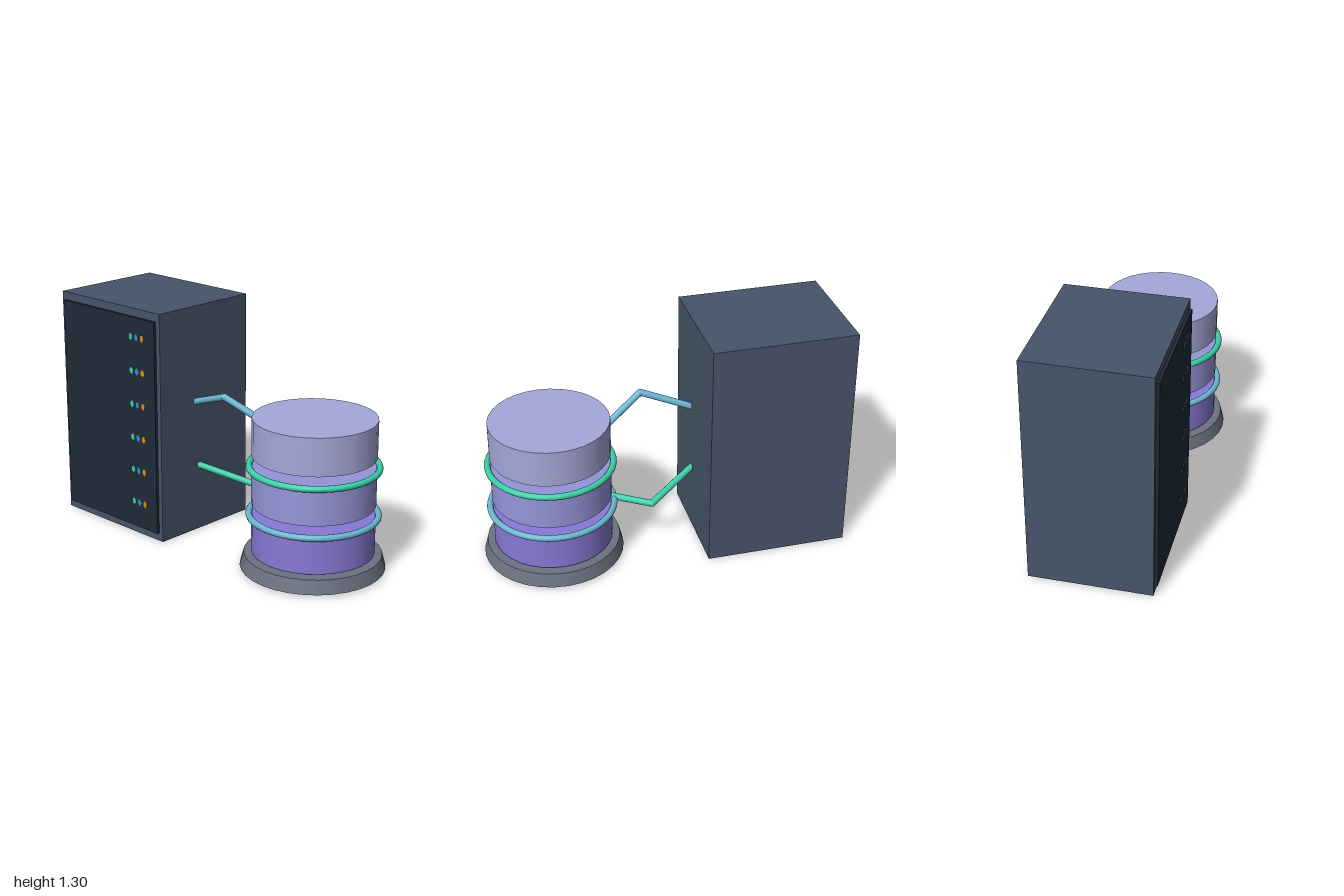
import * as THREE from 'three';

const mat = (name, color) => {
  const m = new THREE.MeshStandardMaterial({ color });
  m.name = name;
  return m;
};

export function createModel() {
  const steel = mat('slate steel', 0x475569);
  const dark = mat('dark panel', 0x1f2b38);
  const green = mat('sea green', 0x3bcfa8);
  const blue = mat('pale blue', 0x6ab7d2);
  const ledBlue = mat('light blue indicator', 0x3490c8);
  const orange = mat('orange indicator', 0xe08e0b);
  const lilac = mat('lilac', 0xa5a7d8);
  const lavender = mat('lavender', 0x9695d8);
  const violet = mat('violet', 0x8879d6);
  const grey = mat('base grey', 0x6b7280);

  const model = new THREE.Group();
  const add = (parent, name, geometry, material, x = 0, y = 0, z = 0) => {
    const mesh = new THREE.Mesh(geometry, material);
    mesh.name = name;
    mesh.position.set(x, y, z);
    parent.add(mesh);
    return mesh;
  };

  // Server cabinet with a raised front panel
  const cabinet = new THREE.Group();
  cabinet.name = 'cabinet';
  model.add(cabinet);
  add(cabinet, 'cabinetBody', new THREE.BoxGeometry(0.795, 1.305, 0.67), steel, -0.6025, 0.6525, 0);
  add(cabinet, 'frontPanel', new THREE.BoxGeometry(0.74, 1.215, 0.025), dark, -0.6025, 0.6525, 0.3385);

  // Six rows of three oval indicator lights
  const light = new THREE.CylinderGeometry(0.019, 0.019, 0.006, 12);
  light.rotateX(Math.PI / 2).scale(0.74, 1, 1);
  for (let row = 0; row < 6; row++) {
    [green, ledBlue, orange].forEach((m, i) =>
      add(cabinet, 'indicatorLight', light, m, -0.415 + i * 0.044, 0.195 + row * 0.191, 0.35));
  }

  // Stacked storage drums on a flared base
  const storage = new THREE.Group();
  storage.name = 'storageStack';
  storage.position.x = 0.605;
  model.add(storage);
  add(storage, 'base', new THREE.CylinderGeometry(0.37, 0.39, 0.075, 32), grey, 0, 0.0505, 0);
  const drum = new THREE.CylinderGeometry(0.33, 0.33, 0.206, 32);
  [violet, lavender, lilac].forEach((m, i) =>
    add(storage, 'drum', drum, m, 0, 0.204 + i * 0.266, 0));

  // Rings around the drum tops
  const ring = new THREE.TorusGeometry(0.343, 0.0175, 12, 48).rotateX(Math.PI / 2);
  add(storage, 'lowerRing', ring, blue, 0, 0.307, 0);
  add(storage, 'upperRing', ring, green, 0, 0.573, 0);

  // Bent cables: straight rods meeting at a rounded elbow
  const cable = (name, material, points) => {
    const group = new THREE.Group();
    group.name = name;
    model.add(group);
    const p = points.map(v => new THREE.Vector3(...v));
    for (let i = 0; i < 2; i++) {
      const dir = p[i + 1].clone().sub(p[i]);
      const mid = p[i].clone().lerp(p[i + 1], 0.5);
      const rod = add(group, 'rod', new THREE.CylinderGeometry(0.019, 0.019, dir.length(), 12), material, ...mid);
      rod.quaternion.setFromUnitVectors(new THREE.Vector3(0, 1, 0), dir.normalize());
    }
    add(group, 'elbow', new THREE.SphereGeometry(0.019, 12, 8), material, ...p[1]);
  };
  cable('upperCable', blue, [[-0.24, 0.75, 0.06], [0.07, 0.86, 0.123], [0.345, 0.705, 0]]);
  cable('lowerCable', green, [[-0.24, 0.392, 0.06], [0.07, 0.288, -0.13], [0.345, 0.322, -0.005]]);

  return model;
}
